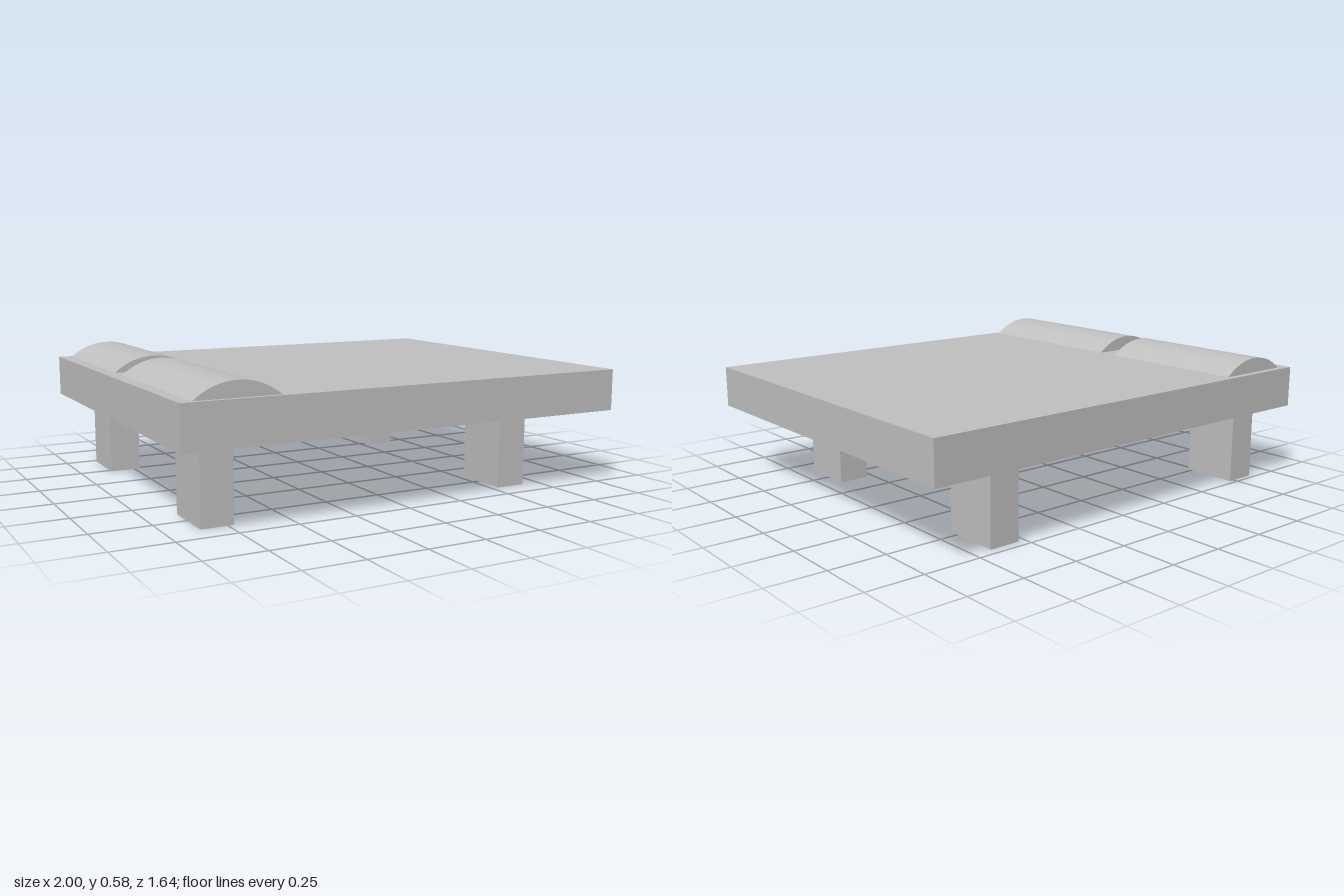
import * as THREE from 'three';

export function createModel() {
  const bed = new THREE.Group();
  bed.name = 'bed';
  const grey = new THREE.MeshStandardMaterial({ color: 0xc0c0c0 });
  grey.name = 'light grey';

  const add = (name, geometry, x, y, z) => {
    const mesh = new THREE.Mesh(geometry, grey);
    mesh.name = name;
    mesh.position.set(x, y, z);
    bed.add(mesh);
  };

  // Mattress slab
  const bottom = 0.334, top = 0.514;
  add('mattress', new THREE.BoxGeometry(2, top - bottom, 1.64), 0, (bottom + top) / 2, 0);

  // Four legs, slightly uneven in placement
  const legs = [
    ['frontHeadLeg', -0.793, 0.515],
    ['frontFootLeg', 0.6, 0.515],
    ['backHeadLeg', -0.793, -0.603],
    ['backFootLeg', 0.6, -0.585],
  ];
  for (const [name, x, z] of legs) {
    add(name, new THREE.BoxGeometry(0.137, bottom, 0.25), x, bottom / 2, z);
  }

  // Pillows: a shallow arc section extruded along z
  const halfWidth = 0.176, rise = 0.065;
  const radius = (halfWidth ** 2 + rise ** 2) / (2 * rise);
  const spread = Math.asin(halfWidth / radius);
  const section = new THREE.Shape();
  section.absarc(0, rise - radius, radius, Math.PI / 2 - spread, Math.PI / 2 + spread, false);
  section.closePath();
  const addPillow = (name, z0, z1) => add(name,
    new THREE.ExtrudeGeometry(section, { depth: z1 - z0, bevelEnabled: false, curveSegments: 8 }),
    -0.77, top, z0);
  addPillow('frontPillow', 0, 0.8);
  addPillow('backPillow', -0.79, -0.095);

  return bed;
}
